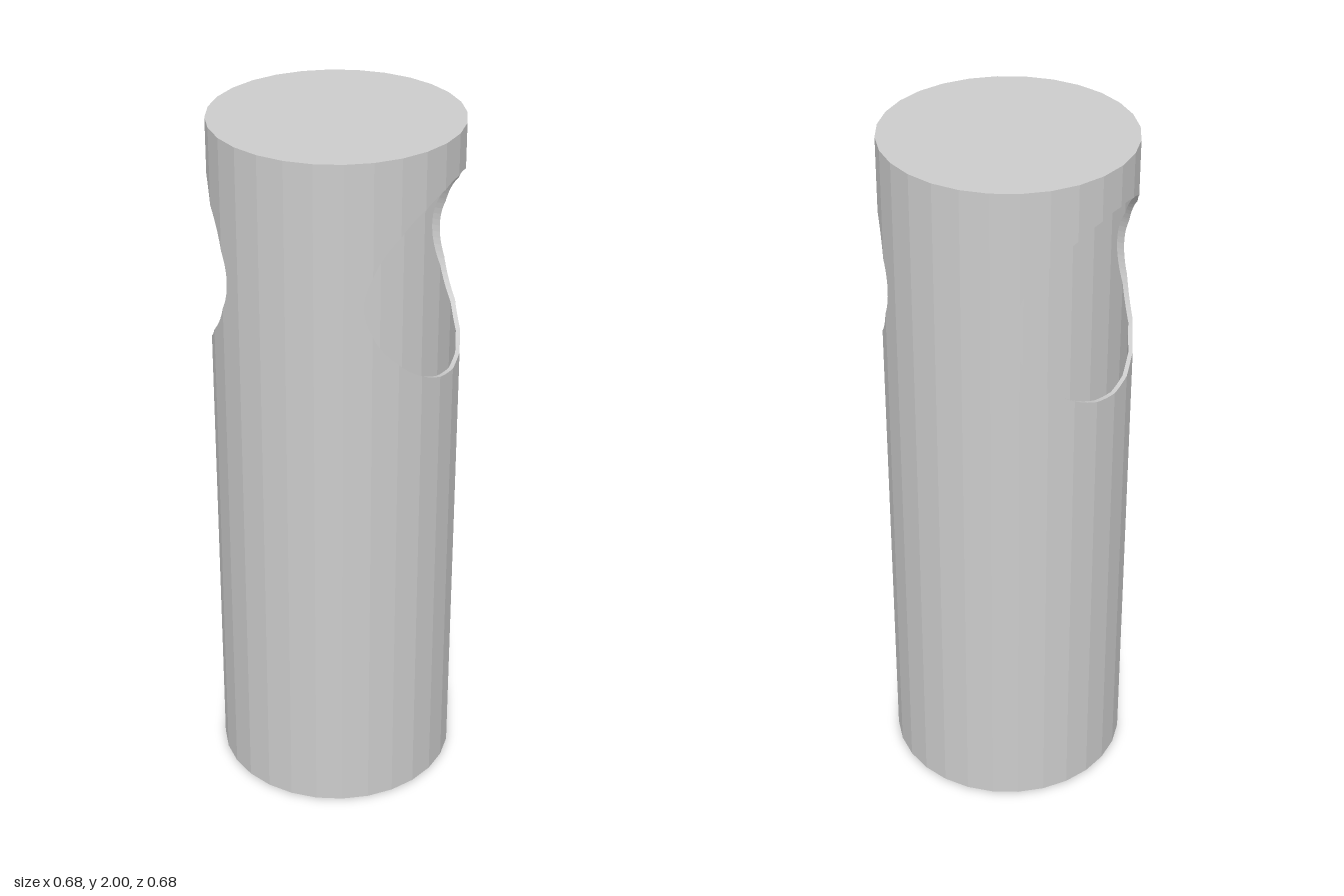
import * as THREE from 'three';

const SIDES = 28, OUTER = 0.342, INNER = 0.33;
const HEIGHT = 2, CEILING = 1.94;
const HOLE_R = 0.28, HOLE_Y = 1.605;

// x of the faceted tube wall at a given z (positive side)
function wallX(radius, z) {
  const step = (Math.PI * 2) / SIDES;
  const a = Math.asin(THREE.MathUtils.clamp(z / radius, -1, 1));
  const a0 = Math.min(Math.floor(a / step + 1e-6) * step, Math.PI / 2 - step);
  const z0 = radius * Math.sin(a0), z1 = radius * Math.sin(a0 + step);
  const x0 = radius * Math.cos(a0), x1 = radius * Math.cos(a0 + step);
  return x0 + ((x1 - x0) * (z - z0)) / (z1 - z0);
}

// half height of the cross hole at a given z
const holeHalf = (z) => Math.sqrt(Math.max(0, HOLE_R ** 2 - z * z));

// column positions: facet corners plus fine steps around the hole
function columns(radii) {
  const zs = [];
  for (const r of radii) {
    for (let k = -SIDES / 4; k <= SIDES / 4; k++) zs.push(r * Math.sin((k * 2 * Math.PI) / SIDES));
  }
  for (let k = -24; k <= 24; k++) zs.push(HOLE_R * Math.sin((k * Math.PI) / 48));
  zs.sort((a, b) => a - b);
  return zs.filter((z, i) => i === 0 || z - zs[i - 1] > 1e-6);
}

// quads given as four corners, mirrored to both sides in x
function mirroredQuads(quads) {
  const pos = [];
  for (const [a, b, c, d] of quads) {
    pos.push(...a, ...b, ...c, ...a, ...c, ...d);
    const [e, f, g, h] = [a, b, c, d].map(([x, y, z]) => [-x, y, z]);
    pos.push(...e, ...g, ...f, ...e, ...h, ...g);
  }
  const geo = new THREE.BufferGeometry();
  geo.setAttribute('position', new THREE.Float32BufferAttribute(pos, 3));
  geo.computeVertexNormals();
  return geo;
}

// tube wall cut by the hole; inward flips the facing
function wall(radius, top, inward) {
  const zs = columns([radius]), quads = [];
  for (let i = 0; i < zs.length - 1; i++) {
    const [za, zb] = [zs[i], zs[i + 1]];
    const [xa, xb] = [wallX(radius, za), wallX(radius, zb)];
    const [ha, hb] = [holeHalf(za), holeHalf(zb)];
    const strips = [[0, 0, HOLE_Y - ha, HOLE_Y - hb], [HOLE_Y + ha, HOLE_Y + hb, top, top]];
    for (const [a0, b0, a1, b1] of strips) {
      const q = [[xa, a0, za], [xa, a1, za], [xb, b1, zb], [xb, b0, zb]];
      quads.push(inward ? q.reverse() : q);
    }
  }
  return mirroredQuads(quads);
}

// thickness of the wall seen around the hole
function holeEdge() {
  const zs = columns([OUTER, INNER]).filter((z) => Math.abs(z) <= HOLE_R + 1e-6);
  const quads = [];
  for (let i = 0; i < zs.length - 1; i++) {
    for (const s of [-1, 1]) {
      const p = (r, z) => [wallX(r, z), HOLE_Y + s * holeHalf(z), z];
      const q = [p(INNER, zs[i]), p(INNER, zs[i + 1]), p(OUTER, zs[i + 1]), p(OUTER, zs[i])];
      quads.push(s < 0 ? q : q.reverse());
    }
  }
  return mirroredQuads(quads);
}

export function createModel() {
  const group = new THREE.Group();
  const material = new THREE.MeshStandardMaterial({
    color: 0xcccccc, flatShading: true, side: THREE.DoubleSide,
  });
  const add = (name, geometry) => {
    const mesh = new THREE.Mesh(geometry, material);
    mesh.name = name;
    group.add(mesh);
  };

  // thin tube with a round hole straight through along x
  add('outerWall', wall(OUTER, HEIGHT, false));
  add('innerWall', wall(INNER, CEILING, true));
  add('holeEdge', holeEdge());

  // closed top, open bottom
  add('topCap', new THREE.CircleGeometry(OUTER, SIDES).rotateX(-Math.PI / 2).translate(0, HEIGHT, 0));
  add('ceiling', new THREE.CircleGeometry(INNER, SIDES).rotateX(Math.PI / 2).translate(0, CEILING, 0));
  add('bottomRim', new THREE.RingGeometry(INNER, OUTER, SIDES).rotateX(Math.PI / 2));
  return group;
}
